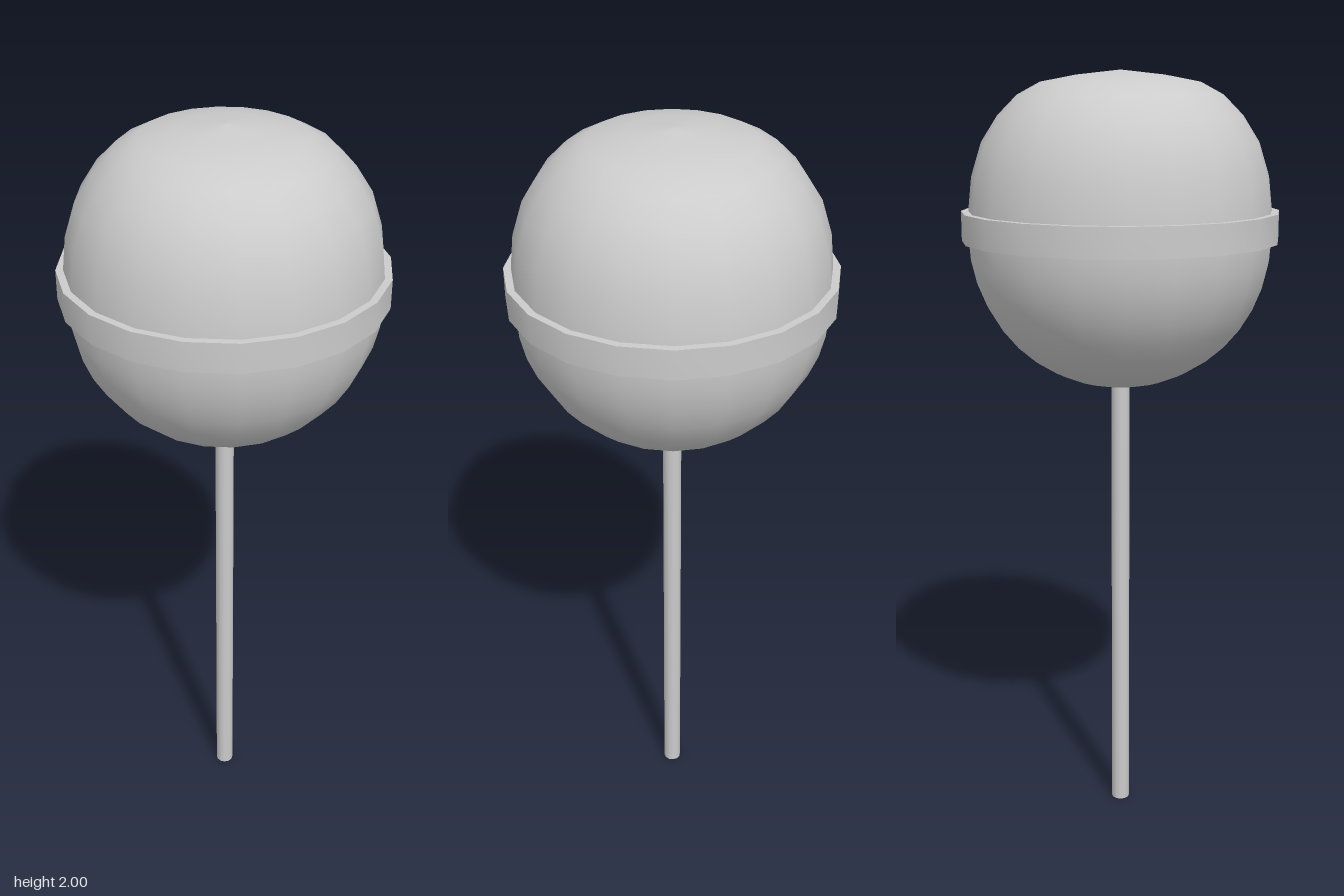
import * as THREE from 'three';
import { toCreasedNormals } from 'three/addons/utils/BufferGeometryUtils.js';

const SIDES = 20;

export function createModel() {
  const group = new THREE.Group();
  const material = new THREE.MeshStandardMaterial({ color: 0xcccccc });

  const add = (name, geometry) => {
    const mesh = new THREE.Mesh(geometry, material);
    mesh.name = name;
    group.add(mesh);
  };
  const lathe = (points) =>
    new THREE.LatheGeometry(points.map(([r, y]) => new THREE.Vector2(r, y)), SIDES);

  // Candy: round lower half, squarer upper half with a gently flattened crown
  const radius = 0.388, centre = 1.59;
  const profile = [];
  for (let i = 0; i <= 10; i++) {
    const a = (i / 10) * Math.PI / 2;
    profile.push([radius * Math.sin(a), centre - radius * Math.cos(a)]);
  }
  profile.push([0.387, 1.65], [0.377, 1.74], [0.35, 1.825], [0.308, 1.89],
    [0.258, 1.94], [0.2, 1.971], [0.11, 1.988], [0, 2]);
  add('candy', lathe(profile));

  // Flat band round the middle
  const band = lathe([[0.37, 1.58], [0.405, 1.58], [0.405, 1.655], [0.37, 1.655]]);
  add('band', toCreasedNormals(band, 0.6));

  // Stick, running a little way into the candy
  const stick = new THREE.CylinderGeometry(0.024, 0.024, 1.25, 12);
  stick.translate(0, 0.625, 0);
  add('stick', stick);

  return group;
}
